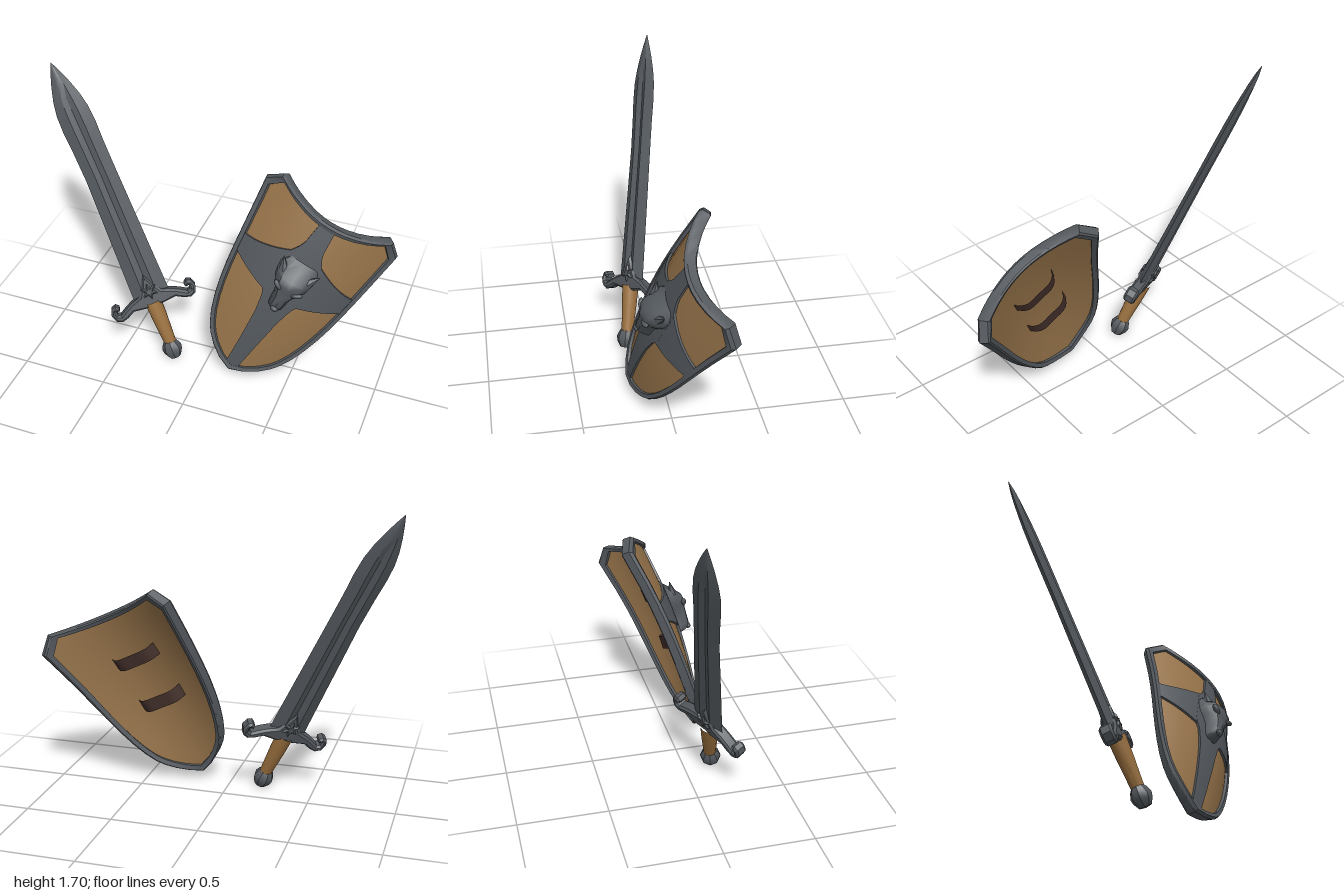
import * as THREE from 'three';
import { toCreasedNormals } from 'three/addons/utils/BufferGeometryUtils.js';

const mat = (name, color, side = THREE.FrontSide) => {
  const m = new THREE.MeshStandardMaterial({ color, side });
  m.name = name;
  return m;
};
const V = (x, y, z) => new THREE.Vector3(x, y, z);

// Skin a lattice of points; columns and rows may wrap around
function skin(rows, wrapCols = false, wrapRows = false) {
  const n = rows[0].length, m = rows.length, index = [];
  for (let i = 0; i < (wrapRows ? m : m - 1); i++) {
    for (let j = 0; j < (wrapCols ? n : n - 1); j++) {
      const i2 = (i + 1) % m, j2 = (j + 1) % n;
      const a = i * n + j, b = i * n + j2, c = i2 * n + j2, d = i2 * n + j;
      index.push(a, b, c, a, c, d);
    }
  }
  const g = new THREE.BufferGeometry().setFromPoints(rows.flat());
  g.setIndex(index);
  return g;
}

function add(group, name, geometry, material, crease = 0.55) {
  const mesh = new THREE.Mesh(toCreasedNormals(geometry, crease), material);
  mesh.name = name;
  group.add(mesh);
  return mesh;
}

// Piecewise linear lookup in [position, value] pairs
function lookup(table, t) {
  for (let i = 1; i < table.length; i++) {
    const [a, va] = table[i - 1], [b, vb] = table[i];
    if (t <= b) return va + (vb - va) * Math.max(0, (t - a) / (b - a));
  }
  return table[table.length - 1][1];
}

// Stand a group along the given axes
function place(group, origin, xAxis, yAxis) {
  const x = xAxis.normalize();
  const z = x.clone().cross(yAxis).normalize();
  const y = z.clone().cross(x);
  group.applyMatrix4(new THREE.Matrix4().makeBasis(x, y, z).setPosition(origin));
}

function extrude(points, depth, bevel) {
  const shape = new THREE.Shape(points.map(([x, y]) => new THREE.Vector2(x, y)));
  const g = new THREE.ExtrudeGeometry(shape, {
    depth, bevelEnabled: true, bevelThickness: bevel, bevelSize: bevel, bevelOffset: -bevel, bevelSegments: 1,
  });
  return g.translate(0, 0, -depth / 2);
}

function createSword(steel, grip) {
  const sword = new THREE.Group();
  sword.name = 'sword';
  const cx = 0.015;

  // Blade: position, half width, half thickness, fuller depth factor
  const section = [[-1, 0], [-0.36, 1], [0, 0], [0.36, 1], [1, 0], [0.36, -1], [0, 0], [-0.36, -1]];
  const stations = [
    [0.42, 0.108, 0.03, 0.45], [0.8, 0.1, 0.028, 0.45], [1.2, 0.091, 0.026, 0.45], [1.38, 0.092, 0.026, 0.45],
    [1.5, 0.096, 0.025, 0.45], [1.6, 0.092, 0.023, 0.5], [1.68, 0.077, 0.02, 0.7], [1.76, 0.053, 0.016, 1.15],
    [1.83, 0.027, 0.01, 1.2], [1.89, 0.001, 0.001, 1],
  ];
  add(sword, 'blade', skin(stations.map(([y, w, t, f]) => {
    const c = y > 1.2 ? cx * (1.89 - y) / 0.69 : cx;
    return section.map(([u, s], k) => V(c + u * w, y, k === 2 ? t * f : k === 6 ? -t * f : s * t));
  }), true), steel, 0.3);

  // Guard with upturned hooked ends and a pointed collar
  const half = [
    [0.05, 0.362], [0.13, 0.372], [0.175, 0.347], [0.215, 0.335], [0.248, 0.352], [0.262, 0.395],
    [0.248, 0.432], [0.222, 0.442], [0.202, 0.425], [0.206, 0.405], [0.226, 0.408], [0.226, 0.386],
    [0.208, 0.378], [0.17, 0.402], [0.125, 0.425], [0.068, 0.446], [0.035, 0.5],
  ];
  const mirrored = half.map(([x, y]) => [-x, y]).reverse();
  const guard = add(sword, 'guard', extrude([[0, 0.37], ...half, [0, 0.565], ...mirrored], 0.046, 0.012), steel);
  guard.position.x = cx;

  // Star boss showing on both faces of the guard
  const star = [];
  for (let i = 0; i < 12; i++) {
    const a = i * Math.PI / 6 + Math.PI / 2, r = i % 2 ? 0.026 : 0.052;
    star.push([Math.cos(a) * r, Math.sin(a) * r]);
  }
  add(sword, 'guardStar', extrude(star, 0.074, 0.01), steel).position.set(cx, 0.462, 0);

  // Grip and faceted pommel
  const lathe = (pts, n) => new THREE.LatheGeometry(pts.map(([r, y]) => new THREE.Vector2(r, y)), n);
  add(sword, 'grip', lathe([[0.035, 0.09], [0.04, 0.18], [0.046, 0.27], [0.05, 0.39]], 14), grip).position.x = 0.01;
  const pommel = [[0, 0], [0.034, 0.006], [0.054, 0.04], [0.059, 0.068], [0.046, 0.1], [0.03, 0.122], [0, 0.124]];
  add(sword, 'pommel', lathe(pommel, 8), steel, 0.6).position.x = 0.006;

  place(sword, V(-0.184, 0.015, 0.165), V(0.81, 0.303, -0.505), V(-0.432, 0.891, -0.14));
  return sword;
}

function createShield(steel, wood, leather) {
  const shield = new THREE.Group();
  shield.name = 'shield';

  // Curved shield surface, raised by h along its normal
  const surf = (u, v, h = 0) => {
    const l = Math.hypot(2 * u, 1);
    const bow = 0.045 * Math.sin(Math.PI * Math.min(1, Math.max(0, v / 1.13)));
    return V(u + h * 2 * u / l, v, -u * u + bow + h / l);
  };

  // Outline, counter-clockwise from the bottom point
  const side = [
    [0.08, 0.025], [0.15, 0.075], [0.2, 0.125], [0.235, 0.175], [0.27, 0.25], [0.3, 0.34], [0.325, 0.44],
    [0.346, 0.55], [0.362, 0.66], [0.376, 0.77], [0.392, 0.9], [0.417, 1.1], [0.345, 1.18],
  ];
  for (const t of [0.85, 0.7, 0.5, 0.3, 0.15]) side.push([0.345 * t, 1.12 + 0.06 * t * t]);
  const outline = [[0, -0.01], ...side, [0, 1.12], ...side.map(([u, v]) => [-u, v]).reverse()];

  // Board faces made of shrinking rings
  const ring = (s, h) => outline.map(([u, v]) => surf(u * s * 0.97, 0.6 + (v - 0.6) * s * 0.98, h));
  const steps = [1, 0.85, 0.7, 0.55, 0.4, 0.25, 0.12, 0.001];
  add(shield, 'boardFront', skin(steps.map((s) => ring(s, 0)), true), wood, 1);
  add(shield, 'boardBack', skin(steps.map((s) => ring(s, -0.022)).reverse(), true), wood, 1);

  // Rim: inset fraction and height around its section
  const rim = [[0, 0.01], [0, -0.036], [0.2, -0.044], [1, -0.04], [1, 0.016], [0.35, 0.024]];
  add(shield, 'rim', skin(outline.map(([u, v]) => rim.map(([k, h]) =>
    surf(u * (1 - 0.085 * k), 0.6 + (v - 0.6) * (1 - 0.06 * k), h))), true, true), steel, 0.6);

  // Raised cross: a tapering upright and two flared arms
  const widths = [[0.02, 0.036], [0.25, 0.052], [0.45, 0.07], [0.56, 0.09], [0.62, 0.12], [0.86, 0.11],
    [0.92, 0.075], [0.95, 0.06], [1.11, 0.045]];
  const rows = [], cols = [-1, -1, -0.6, -0.2, 0.2, 0.6, 1, 1];
  const edge = (k, n, h) => (k === 0 || k === n ? 0 : h);
  for (let i = 0; i <= 30; i++) {
    const v = 0.02 + 1.09 * i / 30, w = lookup(widths, v);
    rows.push(cols.map((c, k) => surf(c * w, v, edge(k, 7, 0.014))));
  }
  add(shield, 'crossUpright', skin(rows), steel);
  const arms = [];
  for (let k = 0; k < 8; k++) {
    const line = [];
    for (let i = 0; i <= 24; i++) {
      const u = -0.355 + 0.71 * i / 24, a = Math.abs(u) / 0.355;
      const lo = 0.58 + 0.085 * Math.pow(a, 1.4), hi = 0.765 + 0.18 * Math.pow(1 - a, 1.4);
      line.push(surf(u, lo + (hi - lo) * (cols[k] + 1) / 2, edge(k, 7, 0.0135)));
    }
    arms.push(line);
  }
  add(shield, 'crossArms', skin(arms), steel);

  // Beast head boss: position, half width, height
  const head = [[0.54, 0.022, 0.01], [0.555, 0.042, 0.06], [0.585, 0.048, 0.083], [0.64, 0.052, 0.087],
    [0.685, 0.075, 0.092], [0.725, 0.1, 0.105], [0.765, 0.11, 0.098], [0.81, 0.115, 0.062], [0.86, 0.09, 0.01]];
  const arch = [[-1, 0], [-0.85, 0.45], [-0.5, 0.88], [0, 1], [0.5, 0.88], [0.85, 0.45], [1, 0]];
  add(shield, 'beastHead', skin(head.map(([v, w, h]) =>
    arch.map(([u, s]) => surf(u * w, v, 0.008 + s * h)))), steel, 0.7);
  for (const s of [-1, 1]) {
    const ear = add(shield, 'beastEar', new THREE.ConeGeometry(0.03, 0.085, 6), steel);
    ear.position.copy(surf(s * 0.088, 0.82, 0.05));
    ear.rotation.set(0, 0, -s * 0.5);
    const brow = add(shield, 'beastBrow', new THREE.SphereGeometry(0.03, 8, 6), steel, 1);
    brow.scale.set(1.2, 0.5, 0.6);
    brow.position.copy(surf(s * 0.05, 0.712, 0.092));
    brow.rotation.z = s * 0.5;
  }
  const nose = add(shield, 'beastNose', new THREE.SphereGeometry(0.022, 8, 6), steel, 1);
  nose.scale.set(1.1, 0.8, 0.8);
  nose.position.copy(surf(0, 0.568, 0.078));

  // Arm straps arching off the back
  for (const v of [0.52, 0.82]) {
    const strap = [-0.04, 0.04].map((dv) => {
      const line = [];
      for (let i = 0; i <= 12; i++) {
        const t = i / 6 - 1, p = surf(0.145 * t, v + dv, -0.022);
        p.z -= 0.075 * (1 - t ** 4);
        line.push(p);
      }
      return line;
    });
    add(shield, 'armStrap', skin(strap), leather, 1);
  }

  place(shield, V(0.17, 0.08, 0.19), V(0.8995, -0.4365, -0.013), V(0.4065, 0.885, -0.226));
  return shield;
}

export function createModel() {
  const steel = mat('steel', 0x53585d);
  const wood = mat('wood', 0x96734a);
  const grip = mat('gripWood', 0x9a703f);
  const leather = mat('darkLeather', 0x43302b, THREE.DoubleSide);
  const model = new THREE.Group();
  model.name = 'swordAndShield';
  model.add(createSword(steel, grip), createShield(steel, wood, leather));
  return model;
}
